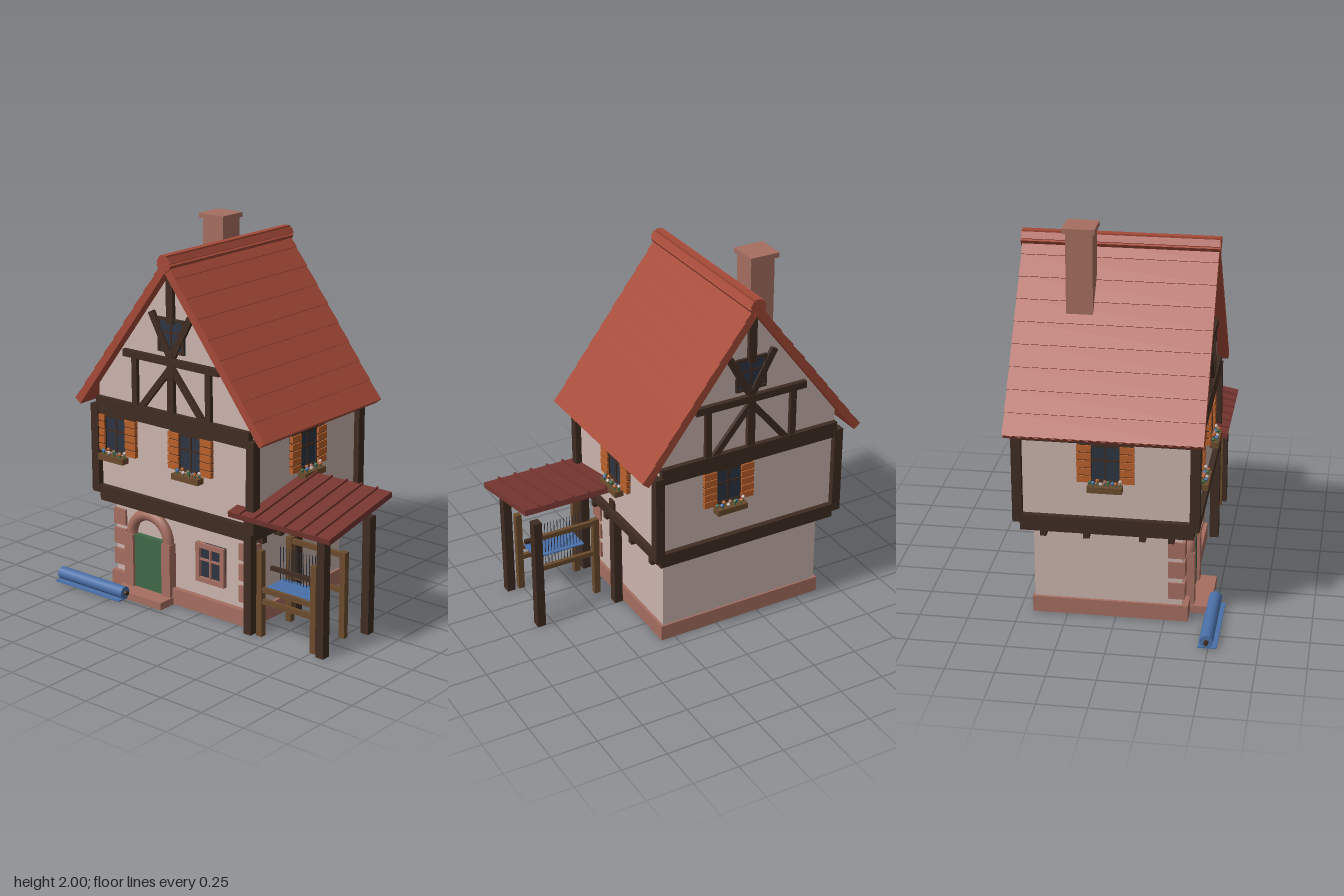
import * as THREE from 'three';

const mat = (name, color, extra = {}) => {
  const m = new THREE.MeshStandardMaterial({ color, ...extra });
  m.name = name;
  return m;
};

export function createModel() {
  const root = new THREE.Group();
  root.name = 'timberHouse';

  const M = {
    plaster: mat('plaster', 0xcab4ad),
    timber: mat('darkTimber', 0x3f2c22),
    brick: mat('brick', 0xa56e60),
    roof: mat('roofTile', 0xa64a38),
    porch: mat('porchRoof', 0x763630),
    wood: mat('wood', 0x6b4a2c),
    shutter: mat('shutterOrange', 0xb9602b),
    glass: mat('glass', 0x2d3442),
    green: mat('doorGreen', 0x3f6947),
    blue: mat('clothBlue', 0x4a70a8),
  };

  const add = (parent, name, geo, material) => {
    const m = new THREE.Mesh(geo, material);
    m.name = name;
    parent.add(m);
    return m;
  };
  // Box from its minimum and maximum on each axis
  const box = (parent, name, material, x0, x1, y0, y1, z0, z1) => {
    const m = add(parent, name, new THREE.BoxGeometry(x1 - x0, y1 - y0, z1 - z0), material);
    m.position.set((x0 + x1) / 2, (y0 + y1) / 2, (z0 + z1) / 2);
    return m;
  };
  // Slanted timber between two points in a facade plane
  const brace = (parent, name, ax, ay, bx, by, w, z0, z1) => {
    const m = add(parent, name, new THREE.BoxGeometry(Math.hypot(bx - ax, by - ay), w, z1 - z0), M.timber);
    m.position.set((ax + bx) / 2, (ay + by) / 2, (z0 + z1) / 2);
    m.rotation.z = Math.atan2(by - ay, bx - ax);
    return m;
  };
  const group = (name, x = 0, y = 0, z = 0, ry = 0, parent = root) => {
    const g = new THREE.Group();
    g.name = name;
    g.position.set(x, y, z);
    g.rotation.y = ry;
    parent.add(g);
    return g;
  };
  // Framed glass with a cross bar, facing +z from local origin
  const pane = (g, w, h, t, material, depth) => {
    box(g, 'glass', M.glass, -w / 2, w / 2, -h / 2, h / 2, 0, 0.008);
    for (const s of [-1, 1]) {
      const x = s * (w - t) / 2, y = s * (h - t) / 2;
      box(g, 'frameSide', material, x - t / 2, x + t / 2, -h / 2, h / 2, 0, depth);
      box(g, 'frameRail', material, -w / 2 + t, w / 2 - t, y - t / 2, y + t / 2, 0, depth);
    }
    box(g, 'mullion', material, -0.005, 0.005, -h / 2 + t, h / 2 - t, 0, depth * 0.8);
    box(g, 'crossBar', material, -w / 2 + t, w / 2 - t, 0.012, 0.022, 0, depth * 0.8);
  };

  const CX = -0.15, CZ = -0.04;

  // Ground floor
  box(root, 'groundWall', M.plaster, -0.615, 0.315, 0, 0.5, -0.42, 0.34);
  box(root, 'plinth', M.brick, -0.63, 0.33, 0.003, 0.09, -0.43, 0.37);
  for (const x of [-0.625, 0.24])
    for (const y of [0.125, 0.243, 0.355])
      box(root, 'cornerStone', M.brick, x, x + 0.085, y, y + 0.09, 0.267, 0.353);

  // Arched door
  const door = group('door', -0.357, 0, 0.34);
  box(door, 'step', M.brick, -0.172, 0.167, 0, 0.04, 0, 0.135);
  box(door, 'doorLeaf', M.green, -0.105, 0.105, 0.04, 0.335, 0, 0.034);
  for (const s of [-1, 1])
    box(door, 'doorJamb', M.brick, s * 0.13 - 0.03, s * 0.13 + 0.03, 0.04, 0.335, 0, 0.05);
  add(door, 'doorArch', new THREE.TorusGeometry(0.128, 0.03, 10, 20, Math.PI), M.brick).position.set(0, 0.333, 0.02);

  pane(group('groundWindow', 0.055, 0.283, 0.34), 0.19, 0.215, 0.026, M.brick, 0.025);

  // Upper floor with its timber frame
  for (const z of [0.285, 0.14, -0.145, -0.365])
    box(root, 'joist', M.timber, -0.66, 0.36, 0.455, 0.495, z - 0.016, z + 0.016);
  box(root, 'floorBeam', M.timber, -0.675, 0.36, 0.49, 0.546, -0.48, 0.4);
  box(root, 'sillBeam', M.timber, -0.7, 0.4, 0.545, 0.588, -0.51, 0.43);
  box(root, 'upperWall', M.plaster, -0.67, 0.37, 0.58, 1.0, -0.48, 0.4);
  box(root, 'topPlate', M.timber, -0.699, 0.399, 0.995, 1.032, -0.509, 0.429);
  for (const x of [-0.702, 0.352])
    for (const z of [-0.512, 0.382])
      box(root, 'cornerPost', M.timber, x, x + 0.05, 0.55, 1.034, z, z + 0.05);

  // Shuttered windows with flower boxes
  const petals = [M.green, M.blue, M.shutter, M.plaster, M.brick];
  const petalGeo = new THREE.IcosahedronGeometry(0.011, 0);
  const shutteredWindow = (x, z, ry) => {
    const g = group('shutteredWindow', x, 0.885, z, ry);
    pane(g, 0.17, 0.205, 0.014, M.timber, 0.016);
    for (const s of [-1, 1]) {
      const c = s * 0.108;
      box(g, 'shutterBack', M.timber, c - 0.032, c + 0.032, -0.1, 0.1, 0, 0.018);
      for (let i = 0; i < 5; i++)
        box(g, 'shutterSlat', M.shutter, c - 0.036, c + 0.036, -0.1 + i * 0.041, -0.066 + i * 0.041, 0.004, 0.026);
    }
    box(g, 'flowerBox', M.wood, -0.088, 0.088, -0.14, -0.108, 0.016, 0.064);
    box(g, 'boxBracket', M.wood, -0.07, 0.07, -0.13, -0.115, 0, 0.02);
    for (let i = 0; i < 9; i++) {
      const px = -0.076 + i * 0.019, up = (i % 3) * 0.005, pz = 0.034 + (i % 2) * 0.016;
      box(g, 'stem', M.green, px - 0.004, px + 0.004, -0.11, -0.092 + up, pz - 0.004, pz + 0.004);
      add(g, 'flower', petalGeo, petals[i % 5]).position.set(px, -0.094 + up, pz);
    }
  };
  shutteredWindow(-0.54, 0.4, 0);
  shutteredWindow(-0.025, 0.4, 0);
  shutteredWindow(-0.025, -0.48, Math.PI);
  shutteredWindow(0.37, CZ, Math.PI / 2);
  shutteredWindow(-0.67, CZ, -Math.PI / 2);

  // Attic wall
  const gable = new THREE.Shape([[-0.515, 1.03], [0.515, 1.03], [0.515, 1.165], [0, 1.835], [-0.515, 1.165]]
    .map(([x, y]) => new THREE.Vector2(x, y)));
  add(root, 'atticWall', new THREE.ExtrudeGeometry(gable, { depth: 0.88, bevelEnabled: false }), M.plaster)
    .position.set(CX, 0, -0.48);

  // Gable timbers, the same at front and back
  for (const ry of [0, Math.PI]) {
    const g = group('gableFrame', CX, 0, CZ, ry);
    const z0 = 0.43, z1 = 0.462;
    box(g, 'tieBeam', M.timber, -0.515, 0.515, 1.03, 1.08, z0, 0.468);
    box(g, 'collarBeam', M.timber, -0.32, 0.32, 1.33, 1.368, z0, 0.467);
    box(g, 'kingPost', M.timber, -0.021, 0.021, 1.08, 1.4, z0, 0.463);
    box(g, 'ridgePost', M.timber, -0.022, 0.022, 1.55, 1.81, z0, z1);
    pane(group('gableWindow', 0, 1.485, 0.44, 0, g), 0.175, 0.18, 0.014, M.timber, 0.014);
    for (const s of [-1, 1]) {
      box(g, 'queenPost', M.timber, s * 0.247 - 0.017, s * 0.247 + 0.017, 1.08, 1.33, z0, z1);
      brace(g, 'lowerBrace', 0, 1.32, s * 0.21, 1.07, 0.034, z0, z1 - 0.002);
      brace(g, 'upperBrace', 0, 1.36, s * 0.13, 1.595, 0.036, z0, z1 - 0.002);
    }
  }

  // Roof slopes with overlapping tile courses
  for (const ry of [0, Math.PI]) {
    const side = group('roofSide', CX, 1.89, CZ, ry);
    const slope = group('roofSlope', 0, 0, 0, 0, side);
    slope.rotation.z = -0.918;
    box(slope, 'roofDeck', M.roof, 0, 1.054, -0.045, -0.012, -0.495, 0.495);
    for (let i = 0; i < 9; i++) {
      const row = box(slope, 'tileCourse', M.roof, i * 0.117, (i + 1) * 0.117, -0.014, -0.002, -0.495, 0.495);
      row.rotation.z = 0.05;
    }
  }
  for (let i = 0; i < 3; i++) {
    const cap = add(root, 'ridgeCap', new THREE.BoxGeometry(0.085, 0.036, 1.004 - i * 0.002), M.roof);
    cap.position.set(CX, 1.864, CZ);
    cap.rotation.z = i * Math.PI / 3 + Math.PI / 6;
  }

  // Chimney
  box(root, 'chimney', M.brick, -0.402, -0.266, 1.4, 1.98, -0.278, -0.143);
  box(root, 'chimneyCap', M.brick, -0.42, -0.255, 1.974, 2, -0.292, -0.13);

  // Lean-to porch
  for (const x of [0.358, 0.818])
    for (const z of [0.022, 0.405])
      box(root, 'porchPost', M.timber, x - 0.023, x + 0.023, 0, 0.636, z - 0.025, z + 0.025);
  const porch = group('porchRoof', 0.588, 0.7, 0.215);
  porch.rotation.x = 0.195;
  box(porch, 'porchDeck', M.porch, -0.317, 0.317, -0.017, 0.013, -0.265, 0.265);
  for (let i = 0; i < 6; i++) {
    const x = -0.24 + i * 0.0945;
    box(porch, 'porchBatten', M.porch, x - 0.005, x + 0.005, 0.01, 0.024, -0.265, 0.265);
  }

  // Loom under the porch
  const loom = group('loom', 0.588, 0, 0);
  for (const s of [-1, 1])
    for (const z of [0.148, 0.392])
      box(loom, 'loomPost', M.wood, s * 0.17 - 0.017, s * 0.17 + 0.017, 0, 0.465, z - 0.016, z + 0.016);
  for (const [y, z] of [[0.445, 0.148], [0.255, 0.148], [0.255, 0.392], [0.192, 0.392]])
    box(loom, 'loomRail', M.wood, -0.187, 0.187, y - 0.013, y + 0.013, z - 0.011, z + 0.011);
  box(loom, 'heddleBar', M.timber, -0.175, 0.175, 0.33, 0.35, 0.29, 0.312);
  box(loom, 'cloth', M.blue, -0.145, 0.145, 0.262, 0.268, 0.235, 0.39);
  for (let i = 0; i < 17; i++) {
    const x = -0.148 + i * 0.0185;
    box(loom, 'warpThread', M.glass, x - 0.0014, x + 0.0014, 0.19, 0.45, 0.2585, 0.2615);
  }

  // Roll of cloth by the door
  const roll = group('clothRoll', -0.658, 0.044, 0.492);
  for (const [name, r, len, m] of [['rolledCloth', 0.034, 0.465, M.blue], ['rollRod', 0.012, 0.5, M.timber]])
    add(roll, name, new THREE.CylinderGeometry(r, r, len, 16), m).rotation.z = Math.PI / 2;
  box(roll, 'clothFlap', M.blue, -0.2325, 0.2325, -0.036, -0.03, -0.042, 0.053);

  return root;
}
